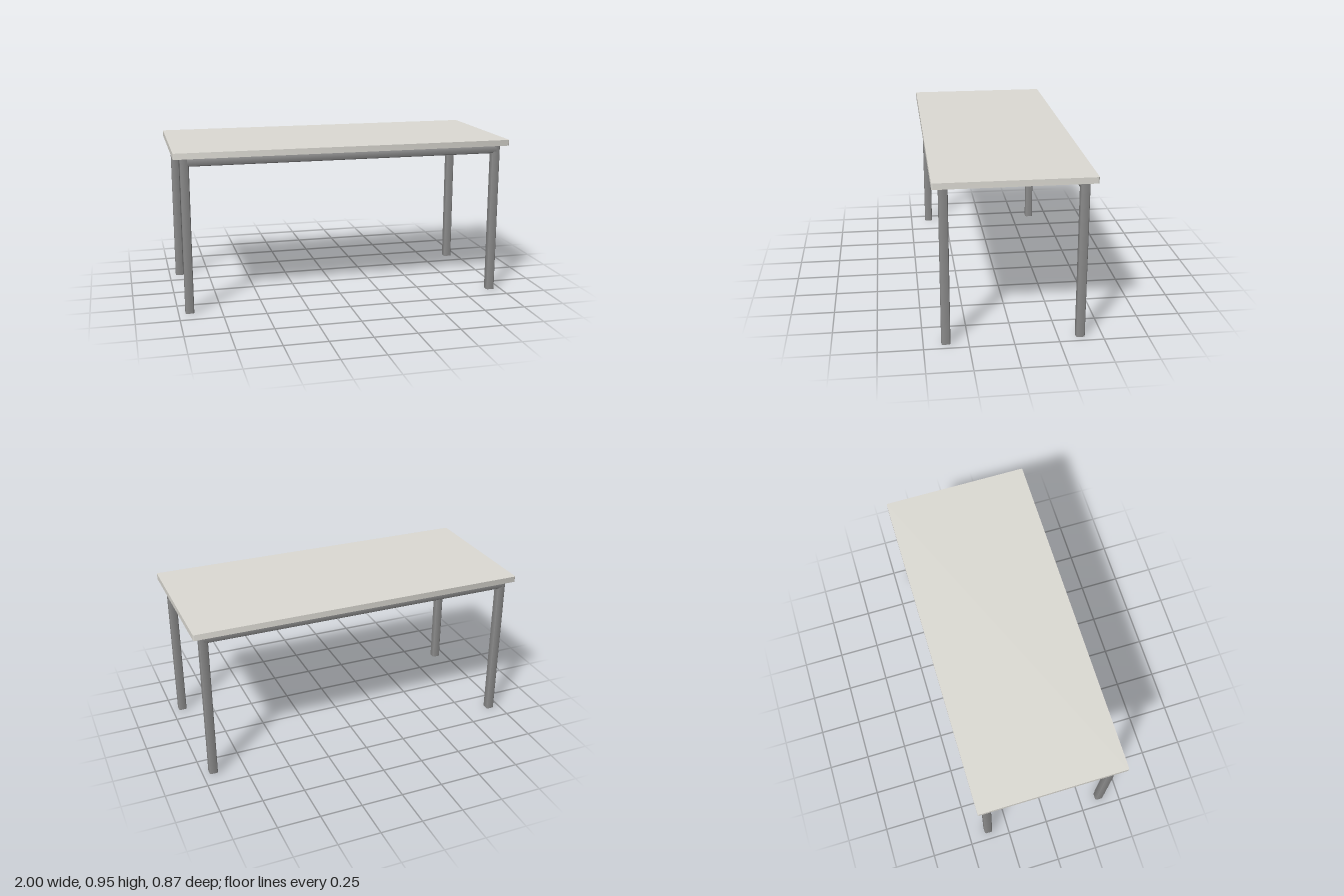
import * as THREE from 'three';
import { toCreasedNormals } from 'three/addons/utils/BufferGeometryUtils.js';

// Bar with a rounded rectangular section (w by h), extruded along z and centred
function roundedBar(w, h, length, r) {
  const x = w / 2, y = h / 2;
  const s = new THREE.Shape();
  s.absarc(x - r, y - r, r, 0, Math.PI / 2);
  s.absarc(-x + r, y - r, r, Math.PI / 2, Math.PI);
  s.absarc(-x + r, -y + r, r, Math.PI, Math.PI * 1.5);
  s.absarc(x - r, -y + r, r, Math.PI * 1.5, Math.PI * 2);
  s.closePath();
  const g = new THREE.ExtrudeGeometry(s, { depth: length, bevelEnabled: false, curveSegments: 5 });
  g.translate(0, 0, -length / 2);
  return toCreasedNormals(g, 0.6);
}

export function createModel() {
  const group = new THREE.Group();
  const topMaterial = new THREE.MeshStandardMaterial({ color: 0xdddbd4 });
  const frameMaterial = new THREE.MeshStandardMaterial({ color: 0x8c8c8c });

  const add = (name, geometry, material, x, y, z) => {
    const mesh = new THREE.Mesh(geometry, material);
    mesh.name = name;
    mesh.position.set(x, y, z);
    group.add(mesh);
  };

  const height = 0.95, thickness = 0.035, tube = 0.05, radius = 0.01;
  const legHeight = height - thickness;
  const legX = 0.935, legZ = 0.375;

  // Table top with slightly rounded corners
  const topGeometry = roundedBar(2, 0.874, thickness, 0.008).rotateX(-Math.PI / 2);
  add('tableTop', topGeometry, topMaterial, 0, height - thickness / 2, 0);

  // Two frames, each with a long rail under the top and a leg at both ends
  const legGeometry = roundedBar(tube, tube, legHeight, radius).rotateX(-Math.PI / 2);
  const railGeometry = roundedBar(tube, tube, legX * 2, radius).rotateY(Math.PI / 2);
  for (const [end, sz] of [['front', 1], ['back', -1]]) {
    add(end + 'Rail', railGeometry, frameMaterial, 0, legHeight - tube / 2, sz * legZ);
    for (const [side, sx] of [['Left', 1], ['Right', -1]]) {
      add(end + side + 'Leg', legGeometry, frameMaterial, sx * legX, legHeight / 2, sz * legZ);
    }
  }
  return group;
}
